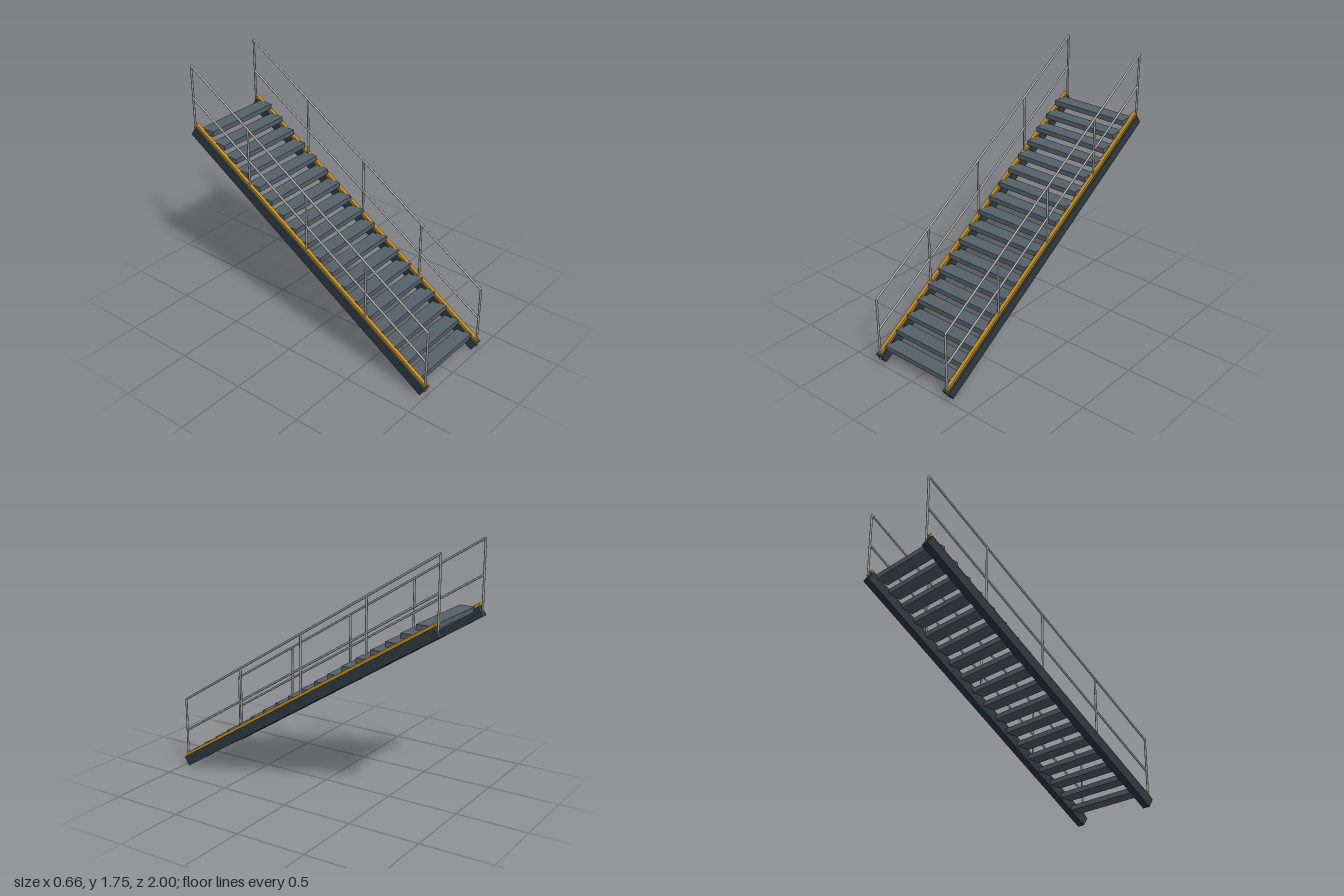
import * as THREE from 'three';

const SLOPE = Math.atan(0.637);   // pitch of the flight
const MID_Y = 0.652;              // stringer centre line height at z = 0
const SIDE_X = 0.302;             // stringer and railing offset
const STEPS = 18;

function material(name, color) {
  const m = new THREE.MeshStandardMaterial({ color });
  m.name = name;
  return m;
}

export function createModel() {
  const dark = material('dark steel', 0x2d393f);
  const tread = material('tread grey', 0x55616a);
  const yellow = material('safety yellow', 0xc08a18);
  const rail = material('railing grey', 0x9b9c9d);

  const model = new THREE.Group();
  model.name = 'staircase';

  function add(parent, name, geometry, mat, x, y, z) {
    const mesh = new THREE.Mesh(geometry, mat);
    mesh.name = name;
    mesh.position.set(x, y, z);
    parent.add(mesh);
    return mesh;
  }

  // Treads, climbing towards the back
  const treadGeo = new THREE.BoxGeometry(0.586, 0.035, 0.105);
  const treads = new THREE.Group();
  treads.name = 'treads';
  for (let i = 0; i < STEPS; i++) {
    add(treads, 'tread', treadGeo, tread, 0, 0.0995 + i * 0.0696, 0.8925 - i * 0.1044);
  }
  model.add(treads);

  const stringerGeo = new THREE.BoxGeometry(0.055, 0.07, 2.325);
  const stripGeo = new THREE.BoxGeometry(0.025, 0.02, 2.325);
  const barGeo = new THREE.CylinderGeometry(0.0075, 0.0075, 2.34, 10);
  barGeo.rotateX(Math.PI / 2);
  const postGeo = new THREE.CylinderGeometry(0.0075, 0.0075, 0.465, 10);

  for (const [side, s] of [['left', 1], ['right', -1]]) {
    // Sloping stringer with a yellow strip along its top
    const beam = new THREE.Group();
    beam.name = side + 'Stringer';
    beam.position.set(s * SIDE_X, MID_Y, 0);
    beam.rotation.x = SLOPE;
    add(beam, 'stringerBeam', stringerGeo, dark, 0, 0, 0);
    add(beam, 'safetyStrip', stripGeo, yellow, 0, 0.044, -0.014);
    model.add(beam);

    // Railing: upright posts with two sloping bars
    const railing = new THREE.Group();
    railing.name = side + 'Railing';
    for (let i = -2; i <= 2; i++) {
      const z = i * 0.4925;
      add(railing, 'post', postGeo, rail, s * SIDE_X, MID_Y + 0.2325 - z * 0.637, z);
    }
    for (const [name, h] of [['handrail', 0.465], ['midRail', 0.233]]) {
      add(railing, name, barGeo, rail, s * SIDE_X, MID_Y + h, 0).rotation.x = SLOPE;
    }
    model.add(railing);
  }
  return model;
}
